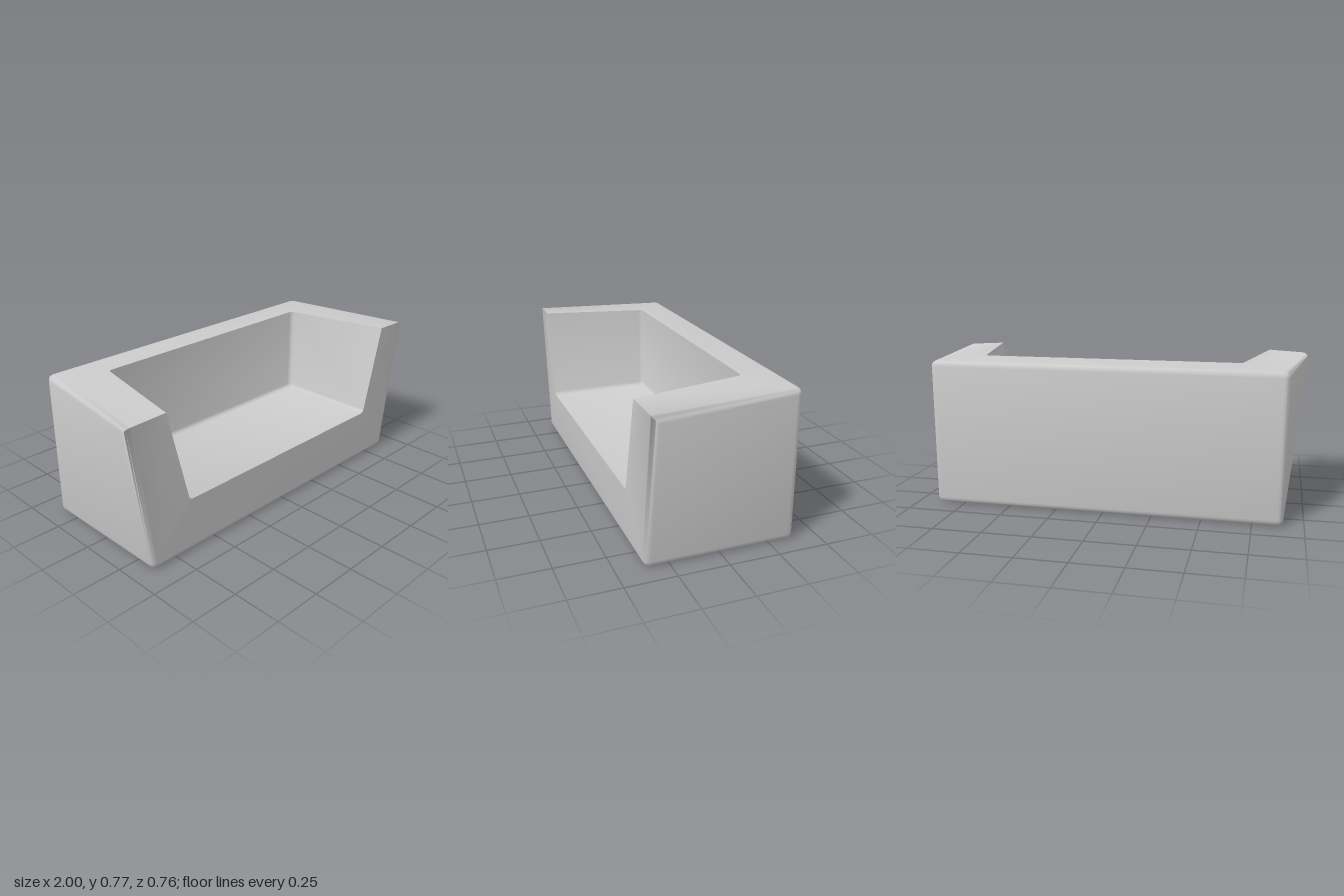
import * as THREE from 'three';
import { RoundedBoxGeometry } from 'three/addons/geometries/RoundedBoxGeometry.js';
import { toCreasedNormals } from 'three/addons/utils/BufferGeometryUtils.js';

const EPS = 1e-4;
// Outer block and hollow, both open at the top and front
const outer = { x: 0.9, y0: 0, y1: 0.757, z0: -0.378, z1: 0.37, r: 0.03, flare: 0.1 };
const inner = { x: 0.675, y0: 0.285, y1: 0.766, z0: -0.185, z1: 0.378, r: 0.02, flare: 0.115 };

// Lean the arms outwards towards their top front corner
function flare(p, b) {
  const t = THREE.MathUtils.clamp((p.y - b.y0 - b.r) / (b.y1 - b.y0 - 2 * b.r), 0, 1);
  const s = THREE.MathUtils.clamp((p.z - b.z0 - b.r) / (b.z1 - b.z0 - 2 * b.r), 0, 1);
  p.x += Math.sign(p.x) * b.flare * t * s;
  return p;
}

// Outside: the rounded top front edge becomes a sharp mitre
function mitre(p, b) {
  const dy = p.y - (b.y1 - b.r), dz = p.z - (b.z1 - b.r);
  if (dy > -EPS && dz > -EPS) {
    const m = Math.hypot(dy, dz);
    p.y = b.y1 - b.r + m;
    p.z = b.z1 - b.r + m;
  }
}

// Hollow: walls run straight out to the open top and front
function extend(p, b) {
  if (p.y > b.y1 - b.r - EPS) p.y = b.y1;
  if (p.z > b.z1 - b.r - EPS) p.z = b.z1;
}

function addTriangle(out, a, b, c) {
  const area = b.clone().sub(a).cross(c.clone().sub(a)).length();
  if (area > 1e-8) for (const p of [a, b, c]) out.push(p.x, p.y, p.z);
}

// Rounded box without its top and front, optionally turned inside out
function addShell(out, b, segments, rule, inward) {
  const box = new RoundedBoxGeometry(2 * b.x, b.y1 - b.y0, b.z1 - b.z0, segments, b.r);
  box.translate(0, (b.y0 + b.y1) / 2, (b.z0 + b.z1) / 2);
  const geo = box.index ? box.toNonIndexed() : box;
  const pos = geo.attributes.position;
  for (let i = 0; i < pos.count; i += 3) {
    const tri = [0, 1, 2].map((k) => new THREE.Vector3().fromBufferAttribute(pos, i + k));
    tri.forEach((p) => rule(p, b));
    if (tri.every((p) => p.y > b.y1 - EPS) || tri.every((p) => p.z > b.z1 - EPS)) continue;
    tri.forEach((p) => flare(p, b));
    if (inward) tri.reverse();
    addTriangle(out, ...tri);
  }
}

// Sloping rim joining the hollow to the outside, all the way round
function addRim(out) {
  const { x, y0, y1, z0, z1, r } = inner;
  const k = r * (1 - Math.SQRT1_2);
  const o = outer, ox = o.x - o.r;
  const bottomFront = [ox, o.y0 + o.r, o.z1];
  const topFront = [ox, o.y1, o.z1];
  const topBack = [ox, o.y1, o.z0 + o.r];
  const half = [
    [[x - r, y0, z1], bottomFront],
    [[x - k, y0 + k, z1], bottomFront],
    [[x, y0 + r, z1], bottomFront],
    [[x, y1, z1], topFront],
    [[x, y1, z0 + r], topBack],
    [[x - k, y1, z0 + k], topBack],
    [[x - r, y1, z0], topBack],
  ];
  const place = (p, b, side) => flare(new THREE.Vector3(p[0] * side, p[1], p[2]), b);
  const sideLoop = (side) => half.map(([i, e]) => [place(i, inner, side), place(e, outer, side)]);
  const loop = [...sideLoop(1), ...sideLoop(-1).reverse()];
  loop.forEach(([i0, o0], n) => {
    const [i1, o1] = loop[(n + 1) % loop.length];
    addTriangle(out, i0, o0, o1);
    addTriangle(out, i0, o1, i1);
  });
}

export function createModel() {
  const group = new THREE.Group();
  group.name = 'sofa';
  const points = [];
  addShell(points, outer, 2, mitre, false);
  addShell(points, inner, 1, extend, true);
  addRim(points);

  let geometry = new THREE.BufferGeometry();
  geometry.setAttribute('position', new THREE.Float32BufferAttribute(points, 3));
  geometry = toCreasedNormals(geometry, 1.05);
  const body = new THREE.Mesh(geometry, new THREE.MeshStandardMaterial({ color: 0xcccccc }));
  body.name = 'sofaBody';
  group.add(body);
  return group;
}
